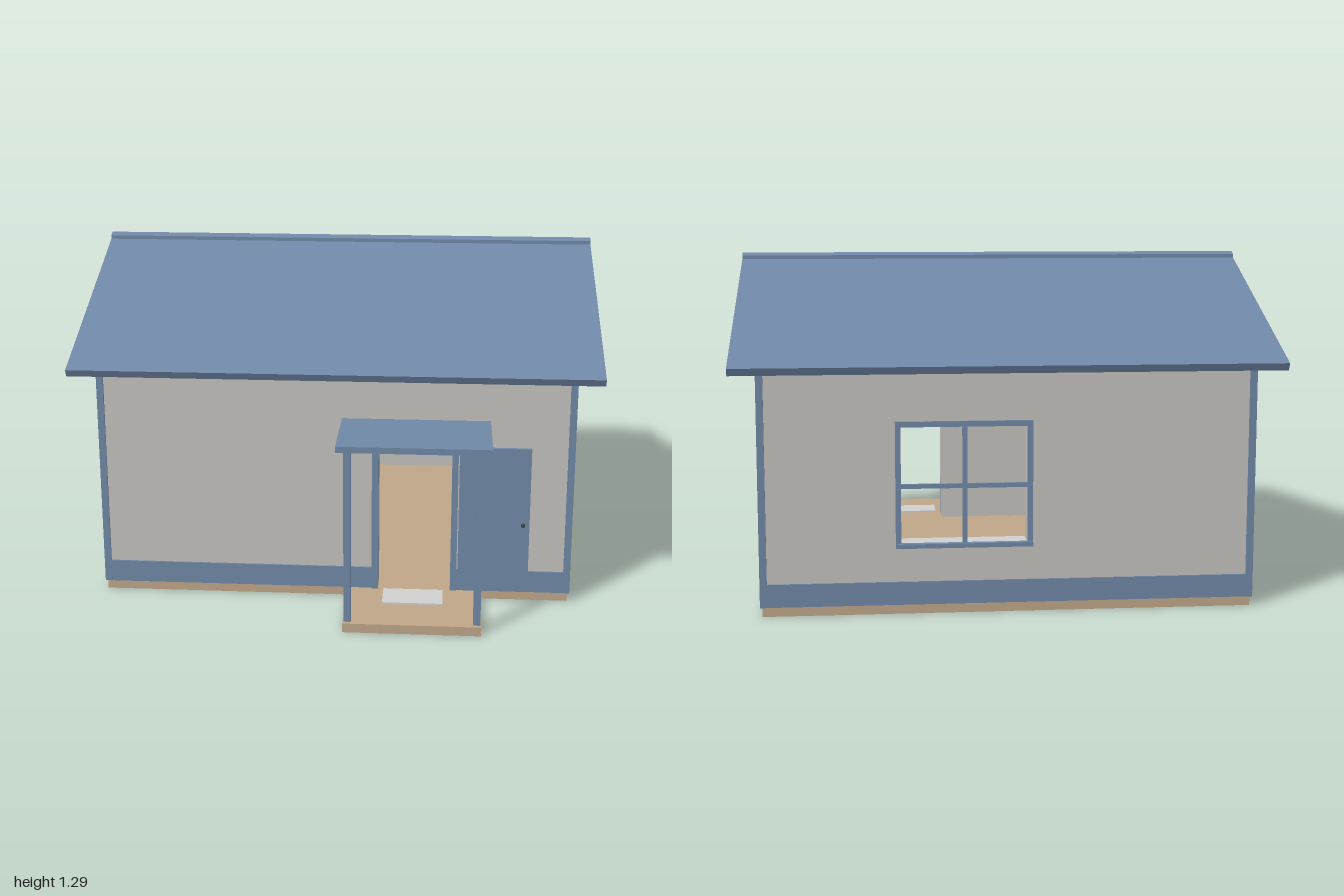
import * as THREE from 'three';

const mat = (name, color, side = THREE.FrontSide) => {
  const m = new THREE.MeshStandardMaterial({ color, side });
  m.name = name;
  return m;
};

export function createModel() {
  const house = new THREE.Group();
  house.name = 'house';
  const blue = mat('slateBlue', 0x6f88a6);
  const grey = mat('wallGrey', 0xc4c1be);
  const tan = mat('floorTan', 0xbfa688);
  const pale = mat('paleGrey', 0xd0d0d0);
  const dark = mat('darkMetal', 0x39424d);

  const add = (name, geo, material) => {
    const mesh = new THREE.Mesh(geo, material);
    mesh.name = name;
    house.add(mesh);
    return mesh;
  };
  // Box given by its limits on each axis
  const box = (name, m, x0, x1, y0, y1, z0, z1) => {
    const geo = new THREE.BoxGeometry(x1 - x0, y1 - y0, z1 - z0);
    geo.translate((x0 + x1) / 2, (y0 + y1) / 2, (z0 + z1) / 2);
    return add(name, geo, m);
  };
  const poly = (pts) => new THREE.Shape(pts.map(([x, y]) => new THREE.Vector2(x, y)));
  const extrude = (shape, depth) => new THREE.ExtrudeGeometry(shape, { depth, bevelEnabled: false });

  const W = 0.9, front = 0.645, back = -0.89, mid = (front + back) / 2;
  const floorY = 0.035, eaveY = 0.92, T = 0.08, half = front - mid;
  const ridgeY = 1.241, slope = 0.41;

  // Extrude a (z from ridge, y) profile along x
  const alongX = (name, m, pts, x0, x1) => {
    const geo = extrude(poly(pts), x1 - x0);
    geo.rotateY(-Math.PI / 2);
    geo.translate(x1, 0, mid);
    return add(name, geo, m);
  };

  // Foundation and porch slab
  box('foundation', tan, -W, W, 0, floorY, back, front);
  box('porchSlab', tan, 0.052, 0.563, 0, floorY, front, 0.982);
  box('doormat', pale, 0.19, 0.42, floorY, 0.042, 0.67, 0.8);

  // Front wall with doorway notch
  const door = { x0: 0.168, x1: 0.447, top: 0.627 };
  const frontGeo = extrude(poly([
    [-W, floorY], [door.x0, floorY], [door.x0, door.top], [door.x1, door.top],
    [door.x1, floorY], [W, floorY], [W, eaveY], [-W, eaveY],
  ]), T);
  frontGeo.translate(0, 0, front - T);
  add('frontWall', frontGeo, grey);

  // Back wall with window opening
  const win = { x0: -0.065, x1: 0.395, y0: 0.257, y1: 0.69 };
  const backShape = poly([[-W, floorY], [W, floorY], [W, eaveY], [-W, eaveY]]);
  backShape.holes.push(poly([
    [win.x0, win.y0], [win.x0, win.y1], [win.x1, win.y1], [win.x1, win.y0],
  ]));
  const backGeo = extrude(backShape, T);
  backGeo.translate(0, 0, back);
  add('backWall', backGeo, grey);

  // Gable walls
  const eaveAt = ridgeY - slope * half;
  const gable = [[-half, floorY], [half, floorY], [half, eaveAt], [0, ridgeY], [-half, eaveAt]];
  alongX('gableWall', grey, gable, W - T, W);
  alongX('gableWall', grey, gable, -W, -W + T);
  box('ceiling', grey, -W + T, W - T, 0.89, 0.91, back + T, front - T);
  box('innerSidePanel', blue, W - T - 0.008, W - T, floorY, 0.25, back + T, front - T);

  // Roof panels, mirrored about the ridge
  for (const s of [1, -1]) {
    const pts = [[0, ridgeY], [0.852 * s, 0.891], [0.865 * s, 0.918], [0, 1.272]];
    alongX('roofPanel', blue, s > 0 ? pts : pts.slice().reverse(), -1, 1);
  }
  alongX('ridgeCap', blue, [[-0.026, 1.25], [0.026, 1.25], [0.026, 1.276], [0, 1.287], [-0.026, 1.276]], -1, 1);

  // Skirting boards and corner trims
  const p = 0.007, baseTop = 0.12;
  box('frontSkirting', blue, -W, 0.142, floorY, baseTop, front, front + p);
  box('frontSkirting', blue, 0.47, W, floorY, baseTop, front, front + p);
  box('backSkirting', blue, -W, W, floorY, baseTop, back - p, back);
  for (const s of [-1, 1]) {
    const [a, b] = s > 0 ? [W, W + p] : [-W - p, -W];
    box('sideSkirting', blue, a, b, floorY, baseTop, back, front);
    const [c, d] = s > 0 ? [W - 0.018, W + p + 0.001] : [-W - p - 0.001, -W + 0.018];
    box('cornerTrim', blue, c, d, floorY, eaveY, front - 0.018, front + p + 0.001);
    box('cornerTrim', blue, c, d, floorY, eaveY, back - p - 0.001, back + 0.018);
  }

  // Door frame and door folded back against the wall
  box('doorJamb', blue, 0.142, door.x0, floorY, 0.647, front - 0.01, 0.658);
  box('doorJamb', blue, door.x1, 0.471, floorY, 0.647, front - 0.01, 0.658);
  box('doorHeader', blue, door.x0, door.x1, door.top, 0.647, front - 0.01, 0.658);
  box('door', blue, 0.475, 0.745, 0.042, 0.622, 0.655, 0.668);
  const knob = new THREE.SphereGeometry(0.008, 12, 8);
  knob.translate(0.72, 0.318, 0.674);
  add('doorKnob', knob, dark);

  // Window frame, glazing bars and sill
  const z0 = back - 0.009, z1 = back + 0.006, f = 0.02;
  box('windowFrameSide', blue, win.x0 - f, win.x0, win.y0 - 0.01, win.y1 + f, z0, z1);
  box('windowFrameSide', blue, win.x1, win.x1 + f, win.y0 - 0.01, win.y1 + f, z0, z1);
  box('windowFrameTop', blue, win.x0, win.x1, win.y1, win.y1 + f, z0, z1);
  box('windowFrameBottom', blue, win.x0 - f, win.x1 + f, 0.246, 0.262, back - 0.018, z1);
  box('windowBarUpright', blue, 0.154, 0.172, win.y0, win.y1, z0 + 0.002, z1);
  box('windowBarCross', blue, win.x0, win.x1, 0.465, 0.481, z0 + 0.002, z1);
  box('innerSill', pale, win.x0, win.x1, 0.254, 0.26, z1, back + T + 0.01);

  // Porch posts and canopy
  for (const x of [0.055, 0.533]) box('porchPost', blue, x, x + 0.027, floorY, 0.7, 0.94, 0.966);
  box('porchCanopy', blue, 0.027, 0.588, 0.7, 0.723, front, 0.987);

  return house;
}
